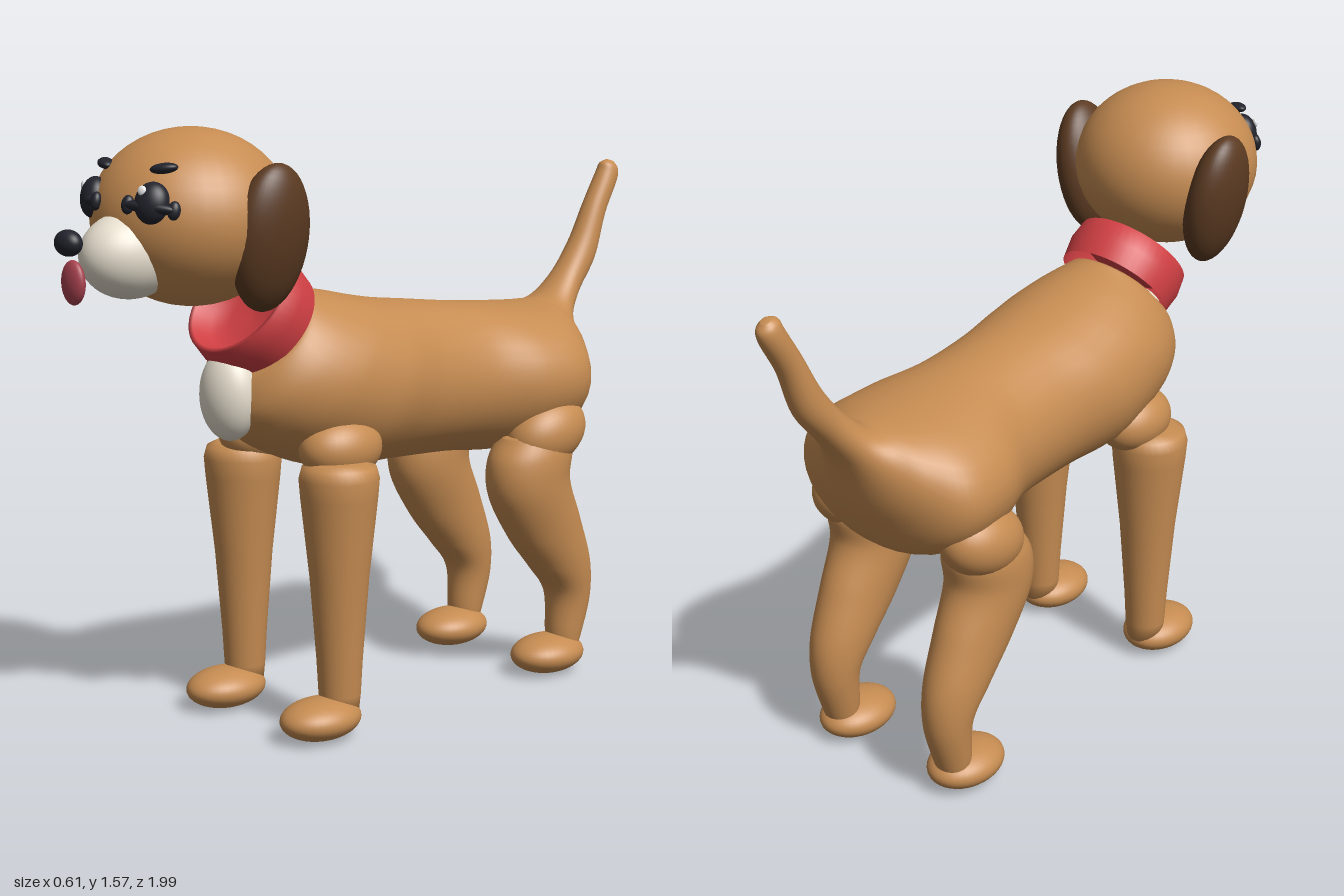
import * as THREE from 'three';

const mat = (name, color) => {
  const m = new THREE.MeshStandardMaterial({ color });
  m.name = name;
  return m;
};

// Smooth closed skin through oval sections: [z, y of one edge, z, y of the opposite edge, half width]
function loft(sections, steps = 60, sides = 36) {
  const edge = (k) => new THREE.CatmullRomCurve3(sections.map((s) => new THREE.Vector3(s[4], s[k + 1], s[k])));
  const edgeA = edge(0), edgeB = edge(2);
  const pos = [], index = [];
  for (let i = 0; i <= steps; i++) {
    const a = edgeA.getPoint(i / steps), b = edgeB.getPoint(i / steps);
    for (let j = 0; j < sides; j++) {
      const t = (j / sides) * Math.PI * 2, c = Math.cos(t) / 2;
      pos.push(Math.sin(t) * a.x, (a.y + b.y) / 2 + c * (a.y - b.y), (a.z + b.z) / 2 + c * (a.z - b.z));
    }
  }
  for (const p of [0, 1]) {
    const a = edgeA.getPoint(p), b = edgeB.getPoint(p);
    pos.push(0, (a.y + b.y) / 2, (a.z + b.z) / 2);
  }
  const first = (steps + 1) * sides, last = steps * sides;
  for (let j = 0; j < sides; j++) {
    const k = (j + 1) % sides;
    for (let i = 0; i < steps; i++) {
      const r = i * sides, n = r + sides;
      index.push(r + j, r + k, n + j, r + k, n + k, n + j);
    }
    index.push(first, k, j, first + 1, last + j, last + k);
  }
  const g = new THREE.BufferGeometry();
  g.setAttribute('position', new THREE.Float32BufferAttribute(pos, 3));
  g.setIndex(index);
  g.computeVertexNormals();
  return g;
}

export function createModel() {
  const fur = mat('tan fur', 0xc68c52);
  const earFur = mat('dark brown fur', 0x5c3b22);
  const cream = mat('cream fur', 0xe6dece);
  const red = mat('red collar', 0xcf3f43);
  red.side = THREE.DoubleSide;
  const pink = mat('tongue pink', 0xa8424f);
  const black = mat('black', 0x22232c);
  const white = mat('white', 0xffffff);

  const model = new THREE.Group();
  model.name = 'dog';
  const add = (name, geometry, material, parent = model) => {
    const m = new THREE.Mesh(geometry, material);
    m.name = name;
    parent.add(m);
    return m;
  };
  const ball = (name, material, [x, y, z], [rx, ry, rz], parent = model) => {
    const m = add(name, new THREE.SphereGeometry(1, 36, 24), material, parent);
    m.position.set(x, y, z);
    m.scale.set(rx, ry, rz);
    return m;
  };

  // Body from neck to tail tip
  add('bodyAndTail', loft([
    [0.28, 1.16, 0.45, 0.97, 0.13],
    [0.25, 1.15, 0.49, 0.93, 0.16],
    [0.17, 1.135, 0.495, 0.84, 0.205],
    [0.08, 1.115, 0.41, 0.755, 0.238],
    [0.0, 1.1, 0.2, 0.672, 0.245],
    [-0.12, 1.085, -0.02, 0.66, 0.22],
    [-0.28, 1.065, -0.25, 0.65, 0.225],
    [-0.42, 1.05, -0.44, 0.635, 0.28],
    [-0.54, 1.04, -0.6, 0.665, 0.28],
    [-0.62, 1.037, -0.685, 0.79, 0.195],
    [-0.675, 1.045, -0.745, 0.95, 0.09],
    [-0.74, 1.1, -0.8, 1.03, 0.055],
    [-0.81, 1.19, -0.88, 1.13, 0.045],
    [-0.87, 1.3, -0.93, 1.26, 0.036],
    [-0.92, 1.385, -0.985, 1.36, 0.032],
    [-0.932, 1.408, -0.99, 1.385, 0.026],
    [-0.953, 1.416, -0.978, 1.406, 0.012],
  ], 96), fur);
  ball('chestPatch', cream, [0, 0.895, 0.485], [0.085, 0.118, 0.07]);

  // Collar: tilted band with a hollowed upper end
  const collar = add('collar', new THREE.LatheGeometry([
    [0.158, -0.058], [0.166, 0], [0.158, 0.052], [0.145, 0.052], [0.12, 0.01], [0.07, -0.008], [0, -0.012],
  ].map(([r, y]) => new THREE.Vector2(r, y)), 48), red);
  collar.position.set(0, 1.1, 0.412);
  collar.rotation.x = 0.88;

  // Head
  ball('head', fur, [0, 1.355, 0.6], [0.25, 0.22, 0.25]);
  ball('muzzle', cream, [0, 1.275, 0.79], [0.102, 0.107, 0.135]);
  ball('nose', black, [0, 1.317, 0.971], [0.042, 0.032, 0.029]);
  ball('tongue', pink, [0, 1.222, 0.959], [0.041, 0.054, 0.02]);

  const frontLegShape = new THREE.LatheGeometry([
    [0, 0.05], [0.05, 0.06], [0.055, 0.11], [0.06, 0.2], [0.077, 0.42], [0.1, 0.63],
    [0.104, 0.68], [0.096, 0.71], [0.07, 0.723], [0, 0.728],
  ].map(([r, y]) => new THREE.Vector2(r, y)), 36);
  const rearLegShape = loft([
    [-0.54, 0.72, -0.34, 0.7, 0.085],
    [-0.56, 0.66, -0.295, 0.63, 0.102],
    [-0.55, 0.58, -0.295, 0.54, 0.102],
    [-0.6, 0.46, -0.375, 0.4, 0.09],
    [-0.653, 0.31, -0.455, 0.31, 0.078],
    [-0.655, 0.21, -0.52, 0.23, 0.065],
    [-0.625, 0.1, -0.525, 0.11, 0.052],
    [-0.61, 0.06, -0.53, 0.06, 0.045],
  ]);

  // Mirrored parts
  for (const [side, s] of [['left', 1], ['right', -1]]) {
    ball(side + 'Ear', earFur, [s * 0.215, 1.313, 0.53], [0.068, 0.185, 0.11]).rotation.z = -s * 0.18;
    ball(side + 'Brow', black, [s * 0.114, 1.488, 0.772], [0.036, 0.013, 0.02]).rotation.set(0, s * 0.5, s * 0.12);

    const eye = new THREE.Group();
    eye.name = side + 'Eye';
    eye.position.set(s * 0.114, 1.403, 0.81);
    eye.rotation.set(-0.2, s * 0.48, 0);
    model.add(eye);
    ball('eyeball', black, [0, 0.005, 0], [0.044, 0.051, 0.034], eye);
    ball('eyeGlint', white, [-0.018, 0.03, 0.027], [0.011, 0.012, 0.006], eye);
    ball('lidFold', black, [0, -0.006, 0.008], [0.07, 0.016, 0.022], eye);
    for (const e of [-1, 1]) {
      ball('eyeCorner', black, [e * 0.06, -0.006, 0.004], [0.016, 0.023, 0.014], eye);
    }

    const frontLeg = add(side + 'FrontLeg', frontLegShape, fur);
    frontLeg.position.set(s * 0.19, 0, 0.283);
    ball(side + 'FrontPaw', fur, [s * 0.19, 0.057, 0.35], [0.09, 0.054, 0.117]);
    ball(side + 'Shoulder', fur, [s * 0.16, 0.75, 0.25], [0.09, 0.085, 0.12]);

    const rearLeg = add(side + 'RearLeg', rearLegShape, fur);
    rearLeg.position.x = s * 0.195;
    ball(side + 'Thigh', fur, [s * 0.213, 0.705, -0.47], [0.093, 0.095, 0.13]).rotation.x = 0.3;
    ball(side + 'RearPaw', fur, [s * 0.19, 0.057, -0.515], [0.09, 0.054, 0.117]);
  }
  return model;
}
